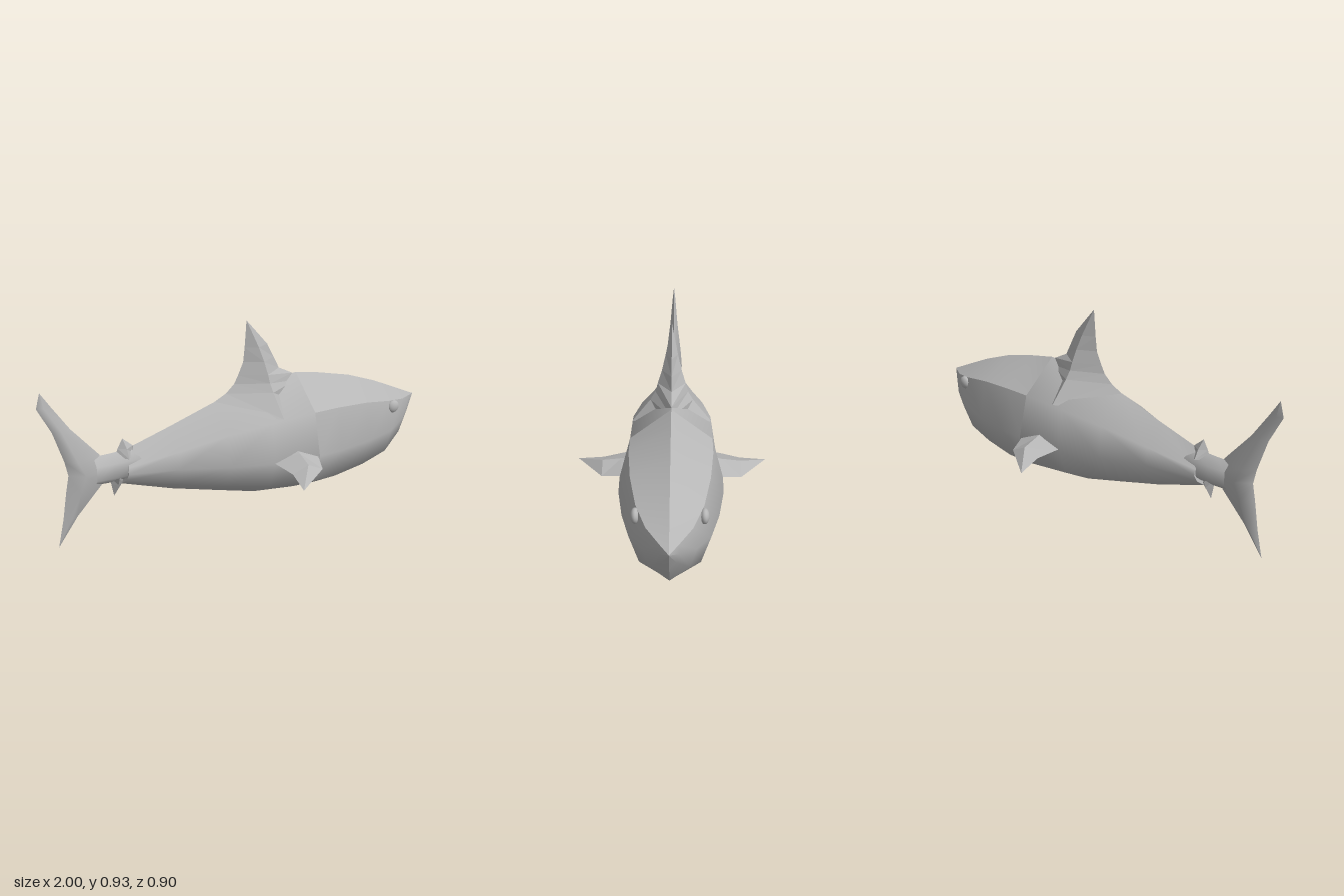
import * as THREE from 'three';

const grey = new THREE.MeshStandardMaterial({ color: 0xb6b6b6 });
grey.name = 'grey skin';

// Skin between rows of points; side -1 mirrors it across the centre plane
function strip(rows, side, smooth) {
  const n = rows[0].length, pos = [], index = [];
  for (const row of rows) for (const [x, y, z] of row) pos.push(x, y, z * side);
  for (let i = 0; i < rows.length - 1; i++) {
    for (let j = 0; j < n - 1; j++) {
      const a = i * n + j, b = a + n, c = a + 1, d = b + 1;
      if (side > 0) index.push(a, c, b, b, c, d);
      else index.push(a, b, c, b, d, c);
    }
  }
  let geo = new THREE.BufferGeometry();
  geo.setAttribute('position', new THREE.Float32BufferAttribute(pos, 3));
  geo.setIndex(index);
  if (!smooth) geo = geo.toNonIndexed();
  geo.computeVertexNormals();
  return geo;
}

// Adds a strip and its mirror image as one named part
function pair(parent, name, rows, smooth = true) {
  const part = new THREE.Group();
  part.name = name;
  for (const side of [1, -1]) {
    const mesh = new THREE.Mesh(strip(rows, side, smooth), grey);
    mesh.name = name + (side > 0 ? 'Near' : 'Far');
    part.add(mesh);
  }
  parent.add(part);
}

// Upright fin with diamond sections: [y, back x, ridge x, front x, half thickness]
const uprightFin = (sections) => sections.map(([y, back, mid, front, t]) =>
  [[back, y, 0], [mid, y, t], [front, y, 0]]);

export function createModel() {
  const shark = new THREE.Group();
  shark.name = 'shark';

  // Half sections: x, ridge y, shoulder y z, flank y z, chine y z, keel y
  const sections = [
    [-0.40, 0.485, 0.395, 0.100, 0.31, 0.108, 0.22, 0.075, 0.165],
    [-0.17, 0.56, 0.445, 0.148, 0.29, 0.163, 0.17, 0.118, 0.097],
    [0.04, 0.615, 0.475, 0.182, 0.28, 0.212, 0.135, 0.16, 0.036],
    [0.27, 0.63, 0.485, 0.185, 0.28, 0.238, 0.12, 0.183, 0.006],
    [0.40, 0.605, 0.485, 0.185, 0.28, 0.235, 0.12, 0.185, 0],
    [0.58, 0.56, 0.47, 0.17, 0.28, 0.21, 0.13, 0.16, 0.015],
    [0.74, 0.50, 0.437, 0.14, 0.285, 0.172, 0.155, 0.13, 0.06],
    [0.86, 0.445, 0.41, 0.095, 0.31, 0.11, 0.22, 0.082, 0.15],
    [0.95, 0.403, 0.392, 0.036, 0.35, 0.04, 0.31, 0.028, 0.28],
    [1.0, 0.38, 0.38, 0, 0.38, 0, 0.38, 0, 0.38],
  ];
  const rings = sections.map(([x, t, sy, sz, fy, fz, cy, cz, k]) =>
    [[x, t, 0], [x, sy, sz], [x, fy, fz], [x, cy, cz], [x, k, 0]]);
  const rearEdge = [[-0.58, 0.43, 0], [-0.63, 0.35, 0.056], [-0.63, 0.32, 0.06],
    [-0.635, 0.285, 0.042], [-0.645, 0.253, 0]];

  // Rounded rear body, and front body with a sharp shoulder edge
  const front = rings.slice(3);
  pair(shark, 'rearBody', [rearEdge, ...rings.slice(0, 4)]);
  pair(shark, 'headBack', front.map((r) => r.slice(0, 2)));
  pair(shark, 'headFlank', front.map((r) => r.slice(1)));
  pair(shark, 'rearCap', [rearEdge.map(() => [-0.62, 0.34, 0]), rearEdge], false);

  // Narrow stalk joining body and tail
  const stalk = [[-0.77, 0.415, 0.04, 0.275], [-0.69, 0.415, 0.046, 0.27], [-0.56, 0.42, 0.05, 0.275]];
  pair(shark, 'tailStalk', stalk.map(([x, t, w, b]) =>
    [[x, t, 0], [x, 0.38, w], [x, 0.31, w], [x, b, 0]]));

  // Tail fin
  pair(shark, 'tailFin', uprightFin([
    [0.005, -0.96, -0.96, -0.96, 0],
    [0.14, -0.928, -0.895, -0.862, 0.02],
    [0.27, -0.905, -0.85, -0.74, 0.04],
    [0.35, -0.888, -0.82, -0.72, 0.046],
    [0.42, -0.9, -0.85, -0.74, 0.04],
    [0.57, -0.943, -0.905, -0.862, 0.02],
    [0.69, -1, -0.97, -0.938, 0.008],
    [0.76, -0.98, -0.98, -0.98, 0],
  ]));

  // Back fin, spreading into the shoulders
  pair(shark, 'backFin', uprightFin([
    [0.485, -0.32, 0.1, 0.27, 0.183],
    [0.59, -0.11, 0.09, 0.27, 0.098],
    [0.63, -0.066, 0.085, 0.25, 0.075],
    [0.67, -0.045, 0.08, 0.175, 0.064],
    [0.73, -0.018, 0.07, 0.145, 0.045],
    [0.8, -0.01, 0.05, 0.11, 0.028],
    [0.93, 0, 0, 0, 0],
  ]), false);

  // Small fins above and below the stalk
  pair(shark, 'upperFinlet', uprightFin([
    [0.39, -0.67, -0.62, -0.58, 0.05],
    [0.43, -0.655, -0.62, -0.582, 0.026],
    [0.475, -0.63, -0.63, -0.63, 0],
  ]), false);
  pair(shark, 'lowerFinlet', uprightFin([
    [0.2, -0.685, -0.685, -0.685, 0],
    [0.26, -0.695, -0.67, -0.64, 0.025],
    [0.3, -0.7, -0.67, -0.63, 0.045],
  ]), false);

  // Side fins: z, back x y, ridge x, underside y, front x y, top y
  const sideFin = [
    [0.17, 0.03, 0.285, 0.16, 0.23, 0.275, 0.28, 0.335],
    [0.235, 0.045, 0.28, 0.16, 0.235, 0.262, 0.28, 0.316],
    [0.325, 0.068, 0.27, 0.15, 0.238, 0.23, 0.26, 0.3],
    [0.45, 0.05, 0.25, 0.05, 0.25, 0.05, 0.25, 0.25],
  ].map(([z, bx, by, mx, under, fx, fy, top]) =>
    [[bx, by, z], [mx, under, z], [fx, fy, z], [mx, top, z], [bx, by, z]]);
  pair(shark, 'sideFin', sideFin, false);

  // Eyes
  for (const side of [1, -1]) {
    const eye = new THREE.Mesh(new THREE.SphereGeometry(0.033, 16, 12), grey);
    eye.name = side > 0 ? 'eyeNear' : 'eyeFar';
    eye.position.set(0.765, 0.403, side * 0.141);
    eye.scale.z = 0.6;
    shark.add(eye);
  }
  return shark;
}
